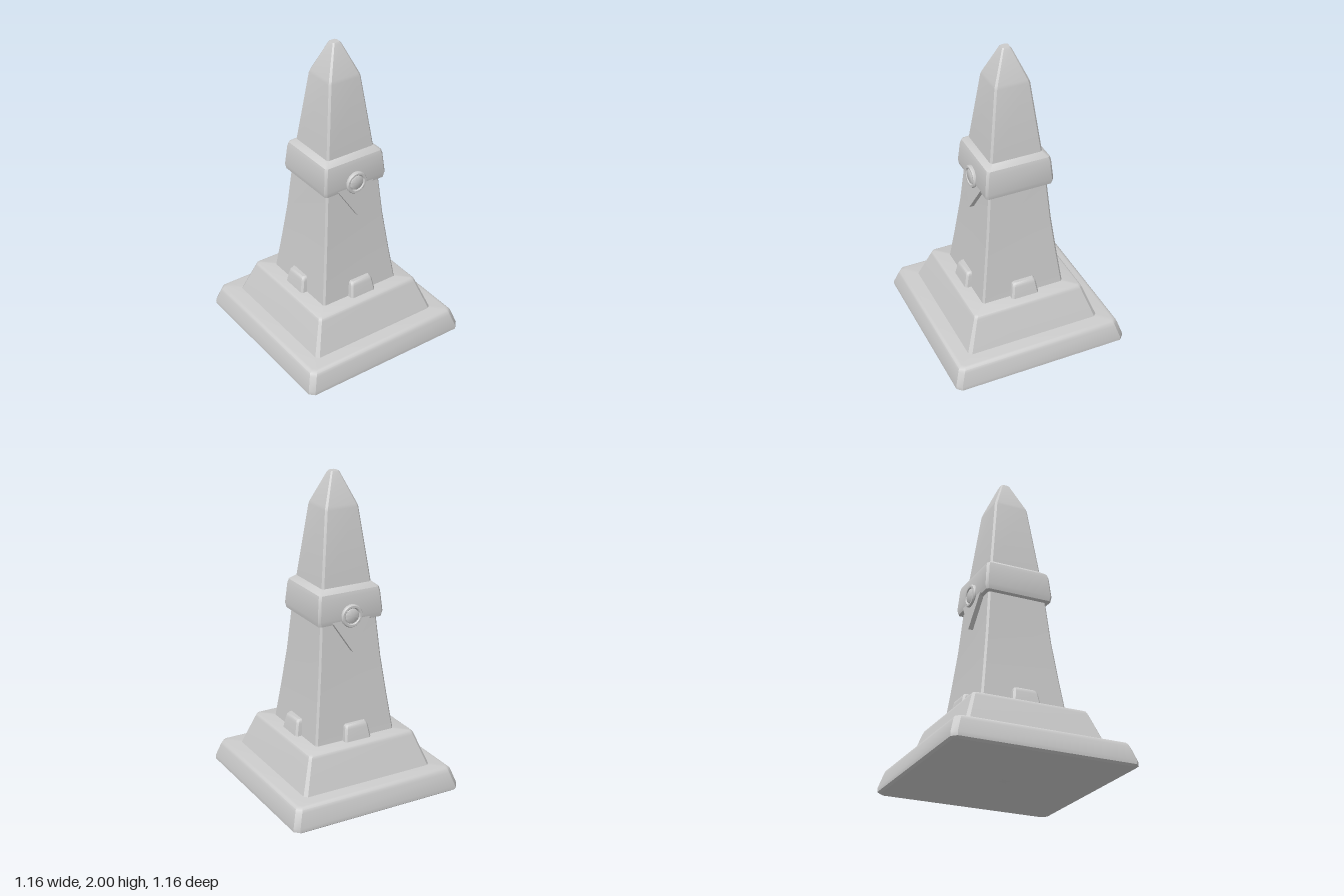
import * as THREE from 'three';
import { toCreasedNormals } from 'three/addons/utils/BufferGeometryUtils.js';

const material = new THREE.MeshStandardMaterial({ color: 0xcccccc });

function addMesh(parent, name, geometry, crease = 0.6) {
  const mesh = new THREE.Mesh(toCreasedNormals(geometry, crease), material);
  mesh.name = name;
  parent.add(mesh);
  return mesh;
}

// Square ring with cut corners: half width w, half depth d, corner cut c
function ring([y, w, c, d = w]) {
  return [
    [w, -d + c], [w, d - c], [w - c, d], [-w + c, d],
    [-w, d - c], [-w, -d + c], [-w + c, -d], [w - c, -d],
  ].map(([x, z]) => [x, y, z]);
}

// Closed solid lofted through rings listed from bottom to top
function loft(levels) {
  const rings = levels.map(ring);
  const pos = [];
  const tri = (a, b, c) => pos.push(...a, ...b, ...c);
  const n = 8, last = rings.length - 1;
  const low = [0, levels[0][0], 0], high = [0, levels[last][0], 0];
  for (let i = 0; i < n; i++) {
    const j = (i + 1) % n;
    for (let k = 0; k < last; k++) {
      const a = rings[k][i], b = rings[k][j], c = rings[k + 1][j], d = rings[k + 1][i];
      tri(a, d, b);
      tri(b, d, c);
    }
    tri(low, rings[0][i], rings[0][j]);
    tri(high, rings[last][j], rings[last][i]);
  }
  const g = new THREE.BufferGeometry();
  g.setAttribute('position', new THREE.Float32BufferAttribute(pos, 3));
  return g;
}

// Triangular pendant, sheared so that it follows the slope of the shaft
function pendantGeometry() {
  const shape = new THREE.Shape();
  shape.moveTo(-0.135, 1.14);
  shape.lineTo(0, 0.93);
  shape.lineTo(0.135, 1.14);
  shape.closePath();
  const g = new THREE.ExtrudeGeometry(shape, { depth: 0.06, bevelEnabled: false });
  const p = g.attributes.position;
  for (let i = 0; i < p.count; i++) {
    p.setZ(i, p.getZ(i) + 0.16 + (1.14 - p.getY(i)) * 0.1);
  }
  return g;
}

// Round boss with a raised rim and a domed centre, facing +z
function medallionGeometry() {
  const profile = [
    [0.072, 0], [0.072, 0.03], [0.066, 0.038], [0.054, 0.038], [0.049, 0.033],
    [0.047, 0.028], [0.045, 0.033], [0.04, 0.036], [0, 0.038],
  ].map(([r, h]) => new THREE.Vector2(r, h));
  return new THREE.LatheGeometry(profile, 32).rotateX(Math.PI / 2);
}

export function createModel() {
  const model = new THREE.Group();
  model.name = 'obelisk';

  // Stepped foot
  addMesh(model, 'baseSlab', loft([
    [0, 0.565, 0.03], [0.012, 0.58, 0.03], [0.035, 0.58, 0.03], [0.12, 0.553, 0.03],
    [0.138, 0.546, 0.03], [0.148, 0.535, 0.025], [0.152, 0.52, 0.02],
  ]));
  addMesh(model, 'plinth', loft([
    [0.14, 0.45, 0.02], [0.35, 0.374, 0.015], [0.367, 0.367, 0.015], [0.375, 0.355, 0.012],
  ]));

  // Tapering shaft with pyramid point
  addMesh(model, 'shaft', loft([
    [0.37, 0.277, 0.012], [0.6, 0.247, 0.012], [0.85, 0.217, 0.012], [1.12, 0.193, 0.012],
    [1.33, 0.17, 0.012], [1.79, 0.113, 0.012], [1.81, 0.107, 0.012],
    [1.99, 0.031, 0.008], [2, 0.024, 0.008],
  ]));

  // Collar band
  addMesh(model, 'collar', loft([
    [1.112, 0.205, 0.012], [1.118, 0.218, 0.014], [1.15, 0.224, 0.014], [1.28, 0.212, 0.014],
    [1.305, 0.205, 0.014], [1.335, 0.168, 0.012],
  ]));

  // Pendant and medallion on front and back
  for (const [side, turn] of [['front', 0], ['back', Math.PI]]) {
    const ornament = new THREE.Group();
    ornament.name = side + 'Ornament';
    ornament.rotation.y = turn;
    addMesh(ornament, 'pendant', pendantGeometry());
    addMesh(ornament, 'medallion', medallionGeometry()).position.set(0, 1.157, 0.2);
    model.add(ornament);
  }

  // Small block at the foot of each shaft face
  ['front', 'left', 'back', 'right'].forEach((side, i) => {
    const holder = new THREE.Group();
    holder.name = side + 'Block';
    holder.rotation.y = i * Math.PI / 2;
    const block = addMesh(holder, 'footBlock', loft([
      [0.37, 0.092, 0.012, 0.04], [0.45, 0.08, 0.012, 0.04],
      [0.468, 0.076, 0.012, 0.038], [0.478, 0.066, 0.01, 0.03],
    ]));
    // Lean inward with the shaft
    const p = block.geometry.attributes.position;
    for (let k = 0; k < p.count; k++) {
      p.setZ(k, p.getZ(k) + 0.277 - (p.getY(k) - 0.37) * 0.2);
    }
    block.geometry = toCreasedNormals(block.geometry, 0.6);
    model.add(holder);
  });

  return model;
}
